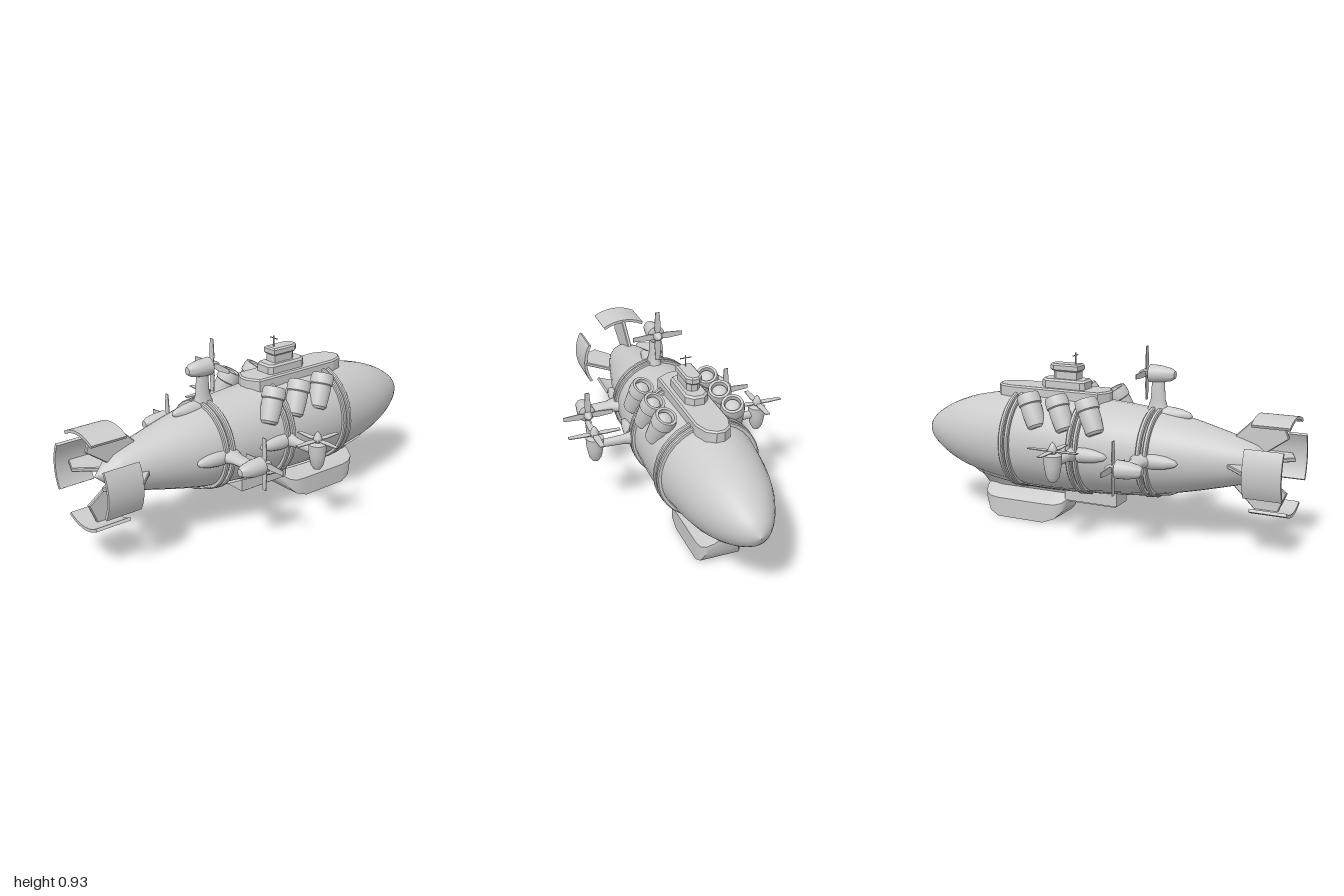
import * as THREE from 'three';
import { toCreasedNormals } from 'three/addons/utils/BufferGeometryUtils.js';

const grey = new THREE.MeshStandardMaterial({ color: 0xcccccc });
const greyDouble = new THREE.MeshStandardMaterial({ color: 0xcccccc, side: THREE.DoubleSide });
const AXIS_Y = 0.42; // height of the hull axis

const vec = (p) => new THREE.Vector2(p[0], p[1]);

function add(parent, name, geometry, material = grey) {
  const mesh = new THREE.Mesh(geometry, material);
  mesh.name = name;
  parent.add(mesh);
  return mesh;
}

function group(parent, name) {
  const g = new THREE.Group();
  g.name = name;
  parent.add(g);
  return g;
}

// Turned part around y, sharp edges kept
const turned = (pts, seg = 20, crease = 0.6) =>
  toCreasedNormals(new THREE.LatheGeometry(pts.map(vec), seg), crease);

// Flat outline in x/z raised from y0 to y1 with a chamfer; half outline is mirrored in z
function slab(half, y0, y1, bevel) {
  const outline = [...half, ...half.map(([x, z]) => [x, -z]).reverse()];
  const geo = new THREE.ExtrudeGeometry(new THREE.Shape(outline.map(vec)), {
    depth: y1 - y0 - bevel, bevelEnabled: bevel > 0, bevelThickness: bevel,
    bevelSize: bevel, bevelOffset: -bevel, bevelSegments: 1,
  });
  return geo.rotateX(-Math.PI / 2).translate(0, y0, 0);
}

// Skin over six-cornered sections: [x, bottomHalf, bottomY, sideHalf, sideY, topHalf, topY]
function loft(stations, crease) {
  const pos = [], idx = [], n = 6;
  for (const [x, a, ay, b, by, c, cy] of stations) {
    pos.push(x, ay, a, x, by, b, x, cy, c, x, cy, -c, x, by, -b, x, ay, -a);
  }
  const last = (stations.length - 1) * n;
  for (let i = 0; i < last; i += n) {
    for (let j = 0; j < n; j++) {
      const k = (j + 1) % n;
      idx.push(i + j, i + n + j, i + n + k, i + j, i + n + k, i + k);
    }
  }
  for (let j = 1; j < n - 1; j++) idx.push(0, j, j + 1, last, last + j + 1, last + j);
  const geo = new THREE.BufferGeometry();
  geo.setAttribute('position', new THREE.Float32BufferAttribute(pos, 3));
  geo.setIndex(idx);
  return toCreasedNormals(geo, crease);
}

// Hull outline: radius and position along the ship
const hullCurve = new THREE.SplineCurve([
  [0.085, -0.83], [0.12, -0.72], [0.187, -0.45], [0.212, -0.28], [0.235, 0], [0.246, 0.25],
  [0.237, 0.45], [0.2, 0.68], [0.143, 0.84], [0.07, 0.955], [0, 1],
].map(vec));
const hullPts = hullCurve.getPoints(40);
hullPts[40].x = 0;
function hullRadius(x) {
  const i = Math.max(1, hullPts.findIndex((p) => p.y >= x));
  const a = hullPts[i - 1], b = hullPts[i];
  return a.x + (b.x - a.x) * (x - a.y) / (b.y - a.y);
}

// Engine along +y with its propeller at the origin
function makeEngine(parent, name) {
  const g = group(parent, name);
  add(g, 'engineCasing', turned([[0, -0.15], [0.018, -0.146], [0.031, -0.125], [0.041, -0.075],
    [0.044, -0.02], [0.03, -0.014], [0, -0.014]]));
  add(g, 'spinner', turned([[0.012, -0.02], [0.014, -0.01], [0.022, -0.008], [0.022, 0.008],
    [0.012, 0.03], [0, 0.045]], 12));
  const blade = new THREE.Shape([[-0.01, 0.01], [0.01, 0.01], [0.017, 0.045], [0.011, 0.13],
    [-0.011, 0.13], [-0.017, 0.045]].map(vec));
  for (let i = 0; i < 4; i++) {
    const geo = new THREE.ExtrudeGeometry(blade, { depth: 0.004, bevelEnabled: false });
    geo.translate(0, 0, -0.002).rotateX(Math.PI / 2).rotateY(i * Math.PI / 2);
    add(g, 'propellerBlade', geo);
  }
  return g;
}

// Flattened strut standing out of the hull, with a pointed fairing behind it
function makeMount(parent, x, angle, reach, width) {
  const g = group(parent, 'engineMount');
  g.rotation.x = angle;
  const r = hullRadius(x), foot = r - 0.03;
  add(g, 'strut', turned([[0, 0], [1.9, 0], [1.5, 0.04], [1.1, 0.08], [0.9, reach - foot], [0, reach - foot]], 16)
    .scale(width, 1, 0.022)).position.set(x, foot, 0);
  const fairing = add(g, 'strutFairing', turned([[0, -0.13], [0.016, -0.115], [0.03, -0.07],
    [0.037, -0.02], [0.037, 0.02], [0, 0.03]], 16));
  fairing.rotation.z = -Math.PI / 2;
  fairing.position.set(x - 0.05, hullRadius(x - 0.1) - 0.003, 0);
  return g;
}

export function createModel() {
  const model = new THREE.Group();
  model.name = 'airship';
  const ship = group(model, 'ship');
  ship.position.y = AXIS_Y;

  // Hull with a short tail cone
  const hull = add(ship, 'hull', new THREE.LatheGeometry([new THREE.Vector2(0, -0.93), ...hullPts], 32));
  hull.rotation.z = -Math.PI / 2;

  // Paired hoops around the hull
  for (const x of [-0.325, 0.028, 0.404]) {
    for (const dx of [-0.017, 0.017]) {
      const r = hullRadius(x + dx);
      const hoop = add(ship, 'hullHoop', turned([[r - 0.01, -0.011], [r + 0.013, -0.011], [r + 0.018, -0.006],
        [r + 0.018, 0.006], [r + 0.013, 0.011], [r - 0.01, 0.011]], 32));
      hoop.rotation.z = -Math.PI / 2;
      hoop.position.x = x + dx;
    }
  }

  // Keel plating wrapped under the hull
  const keelPts = [];
  for (let i = 0; i <= 24; i++) {
    const x = -0.46 + i * 1.14 / 24;
    keelPts.push(new THREE.Vector2(hullRadius(x) + (i === 0 || i === 24 ? -0.004 : 0.01), x));
  }
  add(ship, 'keelPlating', new THREE.LatheGeometry(keelPts, 12, Math.PI / 2 - 0.56, 1.12), greyDouble)
    .rotation.z = -Math.PI / 2;

  // Tail: four curved vanes, each on a swept fin
  const arc = 0.51;
  const vane = new THREE.Shape();
  vane.absarc(0, 0, 0.235, Math.PI / 2 - arc, Math.PI / 2 + arc, false);
  vane.absarc(0, 0, 0.22, Math.PI / 2 + arc, Math.PI / 2 - arc, true);
  const vaneGeo = toCreasedNormals(new THREE.ExtrudeGeometry(vane,
    { depth: 0.18, bevelEnabled: false, curveSegments: 10 }).rotateY(Math.PI / 2), 0.5);
  const fin = new THREE.Shape([[-0.7, 0.1], [-0.72, 0.128], [-0.82, 0.226], [-0.93, 0.226],
    [-0.97, 0.13], [-0.86, 0.05]].map(vec));
  for (let i = 0; i < 4; i++) {
    const g = group(ship, 'tailFin');
    g.rotation.x = i * Math.PI / 2;
    add(g, 'tailVane', vaneGeo).position.x = -1;
    add(g, 'fin', new THREE.ExtrudeGeometry(fin, { depth: 0.012, bevelEnabled: true,
      bevelThickness: 0.004, bevelSize: 0.004, bevelOffset: -0.004, bevelSegments: 1 })).position.z = -0.006;
  }

  // Rear pushing engines: top and both sides
  for (const angle of [0, Math.PI / 2, -Math.PI / 2]) {
    const mount = makeMount(ship, -0.32, angle, 0.37, 0.034);
    const engine = makeEngine(mount, 'rearEngine');
    engine.position.set(-0.26, 0.382, 0);
    engine.rotation.z = -Math.PI / 2;
  }

  for (const side of [1, -1]) {
    // Lifting engines amidships
    makeMount(ship, 0.025, side * Math.PI / 2, 0.42, 0.02);
    makeEngine(ship, 'liftEngine').position.set(0.025, 0.062, side * 0.432);

    // Three leaning tubes on each shoulder
    for (const x of [-0.01, 0.152, 0.308]) {
      const foot = new THREE.Vector3(x - 0.075, 0.1, side * 0.205);
      const axis = new THREE.Vector3(x, 0.258, side * 0.165).sub(foot).normalize();
      const tube = add(ship, 'shoulderTube', turned([[0, 0], [0.034, 0], [0.045, 0.012], [0.052, 0.08],
        [0.052, 0.12], [0.058, 0.125], [0.058, 0.155], [0.053, 0.178], [0.04, 0.178], [0.037, 0.155],
        [0.03, 0.168], [0.016, 0.177], [0, 0.18]], 20, 0.5));
      tube.position.copy(foot);
      tube.quaternion.setFromUnitVectors(new THREE.Vector3(0, 1, 0), axis);
    }
  }

  // Upper deck, bridge and lookout
  const top = group(model, 'superstructure');
  add(top, 'deck', slab([[-0.07, 0.02], [-0.035, 0.083], [0.46, 0.083], [0.525, 0.06], [0.555, 0.02]], 0.61, 0.697, 0.008));
  add(top, 'bridge', slab([[0.055, 0.04], [0.075, 0.057], [0.265, 0.057], [0.3, 0.025]], 0.69, 0.742, 0.01));
  add(top, 'lookout', slab([[0.105, 0.032], [0.22, 0.032], [0.24, 0.015]], 0.735, 0.8, 0));
  add(top, 'lookoutRoof', slab([[0.095, 0.04], [0.23, 0.04], [0.257, 0.018]], 0.787, 0.817, 0.008));
  add(top, 'mast', new THREE.CylinderGeometry(0.003, 0.003, 0.07, 6)).position.set(0.125, 0.838, 0);
  add(top, 'mastArm', new THREE.BoxGeometry(0.004, 0.004, 0.056)).position.set(0.125, 0.86, 0);

  // Gondola, the neck that carries it and the bay behind
  const under = group(model, 'underside');
  add(under, 'gondola', loft([
    [0.15, 0.055, 0.105, 0.06, 0.125, 0.03, 0.155], [0.17, 0.08, 0.06, 0.085, 0.11, 0.03, 0.16],
    [0.205, 0.1, 0.025, 0.1, 0.1, 0.03, 0.16], [0.27, 0.105, 0, 0.105, 0.1, 0.03, 0.16],
    [0.53, 0.105, 0, 0.105, 0.1, 0.03, 0.16], [0.58, 0.1, 0.025, 0.1, 0.105, 0.03, 0.16],
    [0.61, 0.08, 0.08, 0.085, 0.12, 0.025, 0.16], [0.625, 0.05, 0.125, 0.05, 0.14, 0.02, 0.16],
  ], 0.7));
  add(under, 'gondolaNeck', loft([
    [0.13, 0.03, 0.16, 0.04, 0.17, 0.09, 0.22], [0.2, 0.03, 0.12, 0.04, 0.16, 0.1, 0.215],
    [0.55, 0.03, 0.12, 0.04, 0.16, 0.1, 0.22], [0.63, 0.02, 0.15, 0.04, 0.175, 0.09, 0.235],
    [0.7, 0.01, 0.215, 0.03, 0.222, 0.05, 0.25],
  ], 0.7));
  add(under, 'cargoBay', slab([[-0.13, 0.06], [0.16, 0.06]], 0.125, 0.22, 0));
  add(under, 'cargoHatch', slab([[-0.115, 0.045], [0.14, 0.045]], 0.115, 0.135, 0));
  return model;
}
